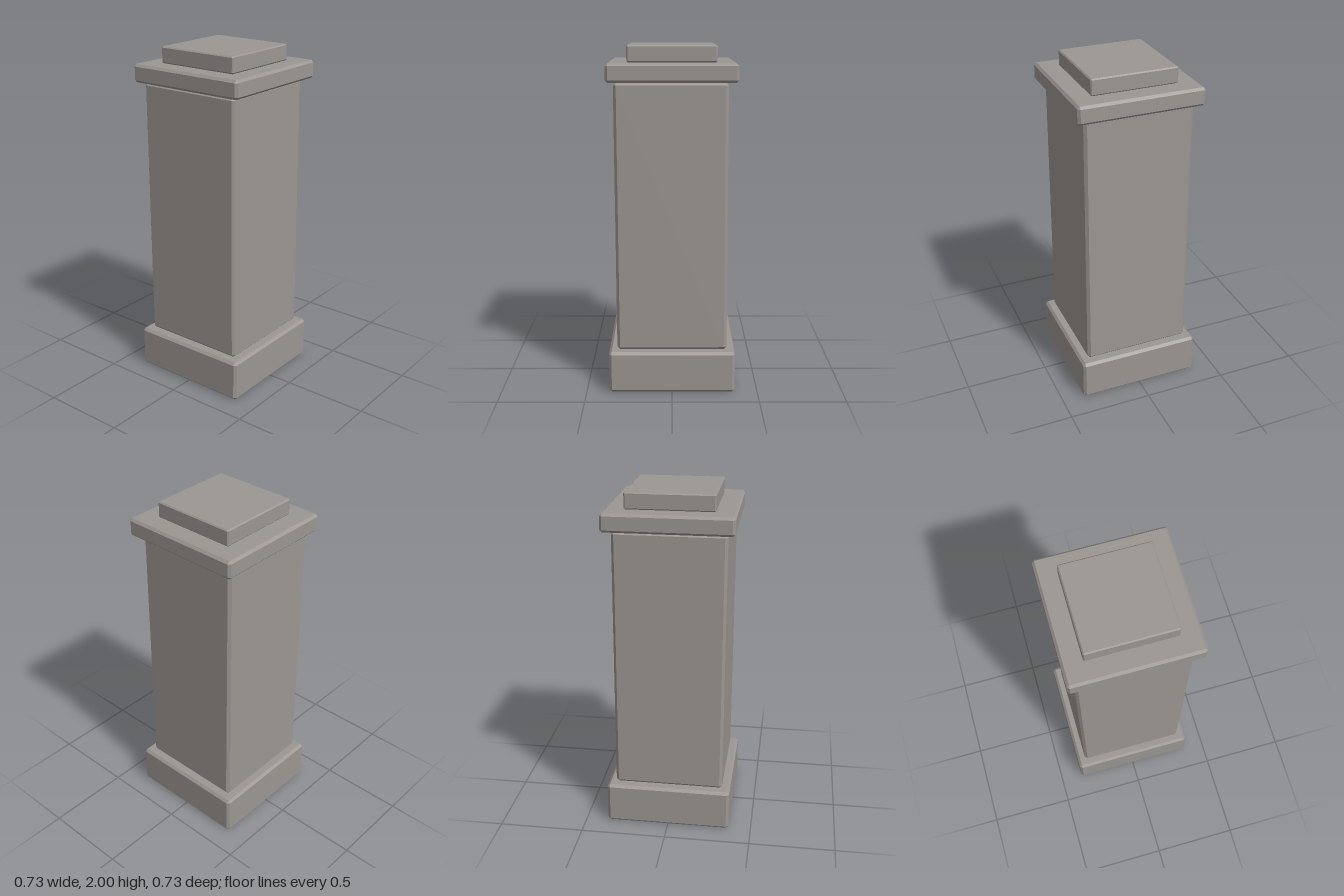
import * as THREE from 'three';
import { ConvexGeometry } from 'three/addons/geometries/ConvexGeometry.js';

const stone = new THREE.MeshStandardMaterial({ color: 0x9b9691 });
stone.name = 'stone';

// Square block with chamfered edges; leanX and leanZ shift its upper end slightly
function block(name, half, y0, y1, bevel, leanX = 0, leanZ = 0) {
  const points = [];
  const mid = (y0 + y1) / 2;
  const h = (y1 - y0) / 2;
  for (const sx of [-1, 1]) for (const sy of [-1, 1]) for (const sz of [-1, 1]) {
    const dx = sy > 0 ? leanX : 0;
    const dz = sy > 0 ? leanZ : 0;
    // three points per corner, one on each adjoining face
    for (const axis of [0, 1, 2]) {
      points.push(new THREE.Vector3(
        sx * (half - (axis === 0 ? 0 : bevel)) + dx,
        mid + sy * (h - (axis === 1 ? 0 : bevel)),
        sz * (half - (axis === 2 ? 0 : bevel)) + dz,
      ));
    }
  }
  const mesh = new THREE.Mesh(new ConvexGeometry(points), stone);
  mesh.name = name;
  return mesh;
}

export function createModel() {
  const group = new THREE.Group();
  group.name = 'stonePillar';
  group.add(
    block('base', 0.367, 0, 0.245, 0.015),
    block('shaft', 0.32, 0.247, 1.799, 0.016, -0.006, -0.004), // slightly crooked
    block('capSlab', 0.367, 1.8, 1.905, 0.014),
    block('topSlab', 0.253, 1.905, 2, 0.007),
  );
  return group;
}
